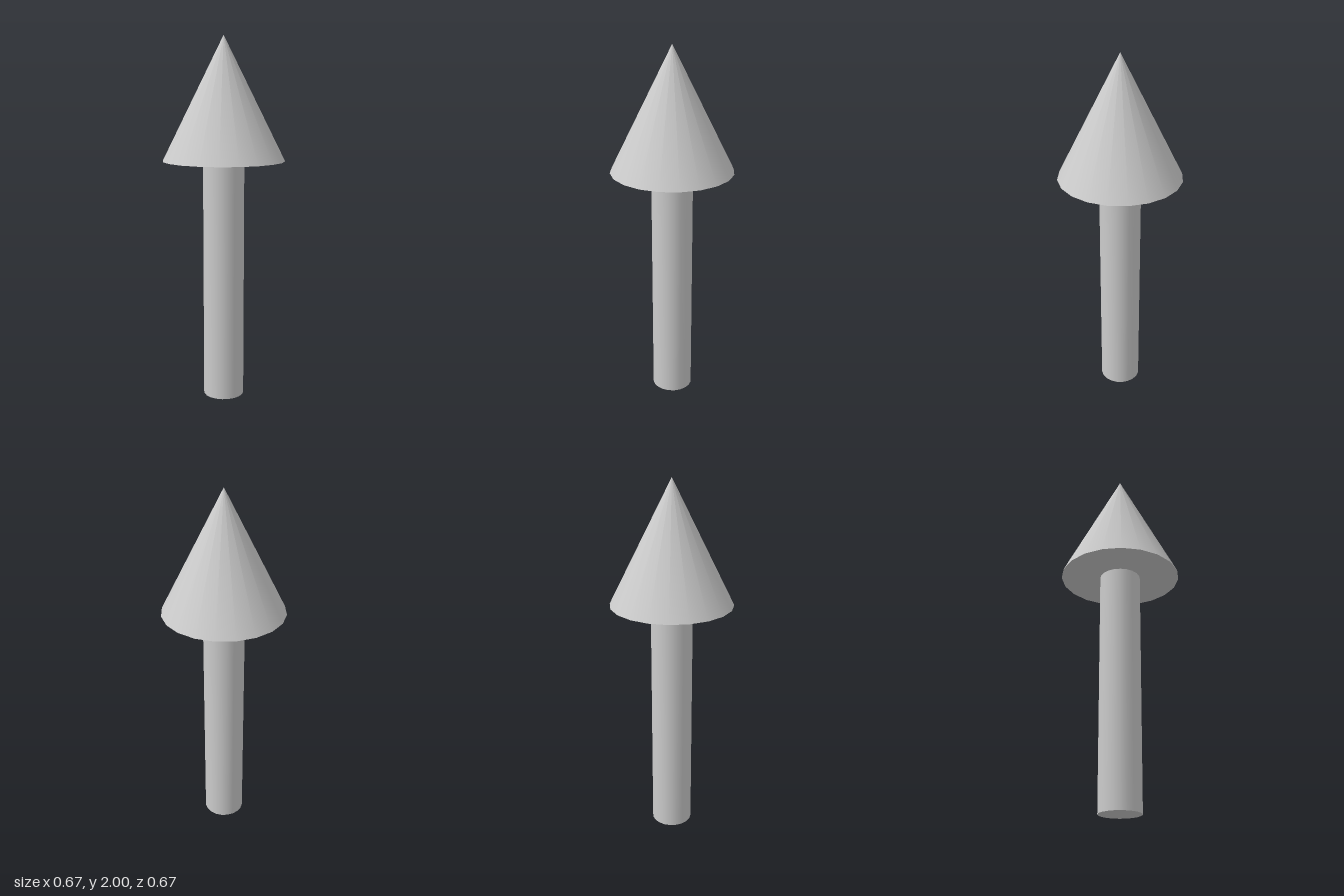
import * as THREE from 'three';

const SIDES = 20;
const HEAD_BASE = 1.333;
const HEIGHT = 2;

export function createModel() {
  const model = new THREE.Group();
  model.name = 'arrow';
  const material = new THREE.MeshStandardMaterial({ color: 0xcccccc });

  const addPart = (name, geometry, y) => {
    const mesh = new THREE.Mesh(geometry, material);
    mesh.name = name;
    mesh.position.y = y;
    model.add(mesh);
  };

  // Round shaft standing on the ground
  addPart('shaft', new THREE.CylinderGeometry(0.113, 0.113, HEAD_BASE, SIDES), HEAD_BASE / 2);

  // Pointed head with a flat underside
  const headHeight = HEIGHT - HEAD_BASE;
  addPart('head', new THREE.ConeGeometry(0.334, headHeight, SIDES), HEAD_BASE + headHeight / 2);

  return model;
}
